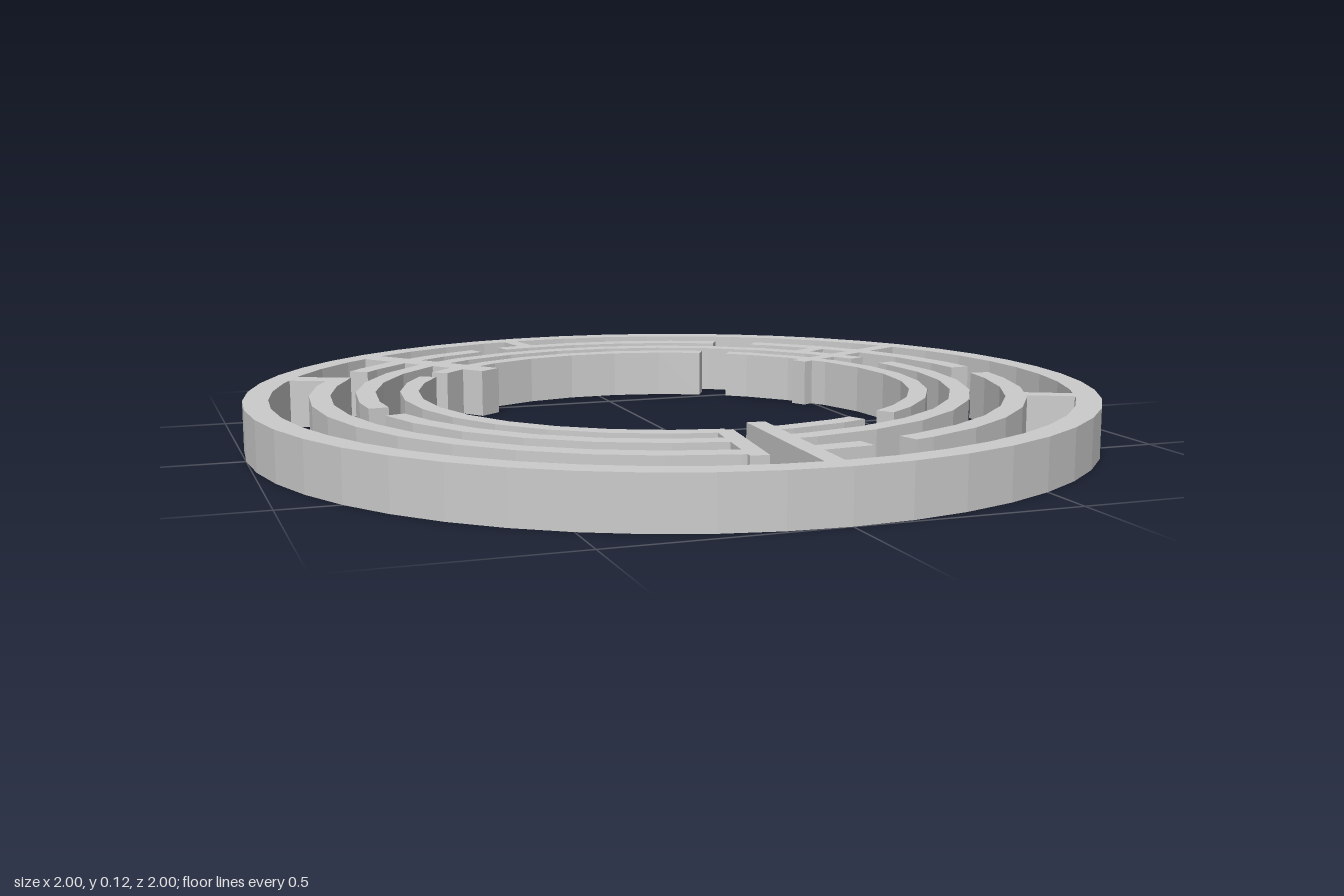
import * as THREE from 'three';

const H = 0.115;
const RAD = Math.PI / 180;
const material = new THREE.MeshStandardMaterial({ color: 0xcccccc });

// Extrude a plan shape (shape y becomes z) into a slab standing on y = 0
function slab(shape) {
  const g = new THREE.ExtrudeGeometry(shape, { depth: H, bevelEnabled: false });
  g.rotateX(Math.PI / 2);
  g.translate(0, H, 0);
  return g;
}

function addPart(group, name, geometry) {
  const mesh = new THREE.Mesh(geometry, material);
  mesh.name = name;
  group.add(mesh);
}

function polygon(r, sides) {
  return Array.from({ length: sides }, (_, i) => {
    const a = (i / sides) * Math.PI * 2;
    return new THREE.Vector2(Math.cos(a) * r, Math.sin(a) * r);
  });
}

// Faceted arc wall; angles in degrees run from +x towards +z
function arcWall({ outer, inner, centre: [cx, cz], step }, from, to) {
  const mid = (outer + inner) / 2;
  const local = (d) => d + (cx * Math.sin(d * RAD) - cz * Math.cos(d * RAD)) / mid / RAD;
  const start = local(from), end = local(to);
  const angles = [start];
  for (let a = Math.ceil((start + 1) / step) * step; a < end - 1; a += step) angles.push(a);
  angles.push(end);
  const at = (r) => (a) =>
    new THREE.Vector2(cx + r * Math.cos(a * RAD), cz + r * Math.sin(a * RAD));
  const points = [...angles.map(at(outer)), ...angles.reverse().map(at(inner))];
  return slab(new THREE.Shape(points));
}

// Straight wall between two plan points
function barWall([x1, z1], [x2, z2], width) {
  const g = new THREE.BoxGeometry(Math.hypot(x2 - x1, z2 - z1), H, width);
  g.rotateY(-Math.atan2(z2 - z1, x2 - x1));
  g.translate((x1 + x2) / 2, H / 2, (z1 + z2) / 2);
  return g;
}

export function createModel() {
  const model = new THREE.Group();
  model.name = 'ringMaze';

  // Closed outer ring
  const rim = new THREE.Shape(polygon(1, 48));
  rim.holes.push(new THREE.Path(polygon(0.942, 48)));
  addPart(model, 'outerRing', slab(rim));

  // Broken concentric rings
  const rings = [
    { name: 'wideRing', outer: 0.842, inner: 0.793, centre: [-0.01, -0.003], step: 10,
      arcs: [[3.4, 73.9], [81.3, 90], [97.3, 207.4], [216.2, 248.8], [254.5, 298.1], [305.9, 356.2]] },
    { name: 'middleRing', outer: 0.727, inner: 0.681, centre: [-0.017, -0.017], step: 12,
      arcs: [[-16.4, 89], [99.5, 166.7], [174.5, 335]] },
    { name: 'innerRing', outer: 0.626, inner: 0.583, centre: [-0.015, -0.016], step: 12,
      arcs: [[-56, 56.5], [66.9, 89], [98.7, 214], [220.2, 297]] },
  ];
  for (const ring of rings) {
    const group = new THREE.Group();
    group.name = ring.name;
    for (const [from, to] of ring.arcs) addPart(group, 'arcWall', arcWall(ring, from, to));
    model.add(group);
  }

  // Straight walls that tie the rings together
  const bars = [
    ['frontBar', [0.005, 0.51], [-0.012, 0.955], 0.042],
    ['frontRightBar', [-0.092, 0.572], [-0.125, 0.847], 0.04],
    ['backRightBar', [-0.6, -0.75], [-0.345, -0.415], 0.066],
    ['backSpoke', [-0.165, -0.95], [-0.142, -0.82], 0.04],
    ['leftBar', [0.835, -0.492], [0.46, -0.295], 0.042],
    ['leftLink', [0.53, -0.458], [0.61, -0.505], 0.042],
    ['frontLeftSpoke', [0.85, 0.437], [0.715, 0.367], 0.045],
    ['rightSpoke', [-0.85, -0.432], [-0.715, -0.37], 0.06],
  ];
  for (const [name, a, b, width] of bars) addPart(model, name, barWall(a, b, width));

  return model;
}
